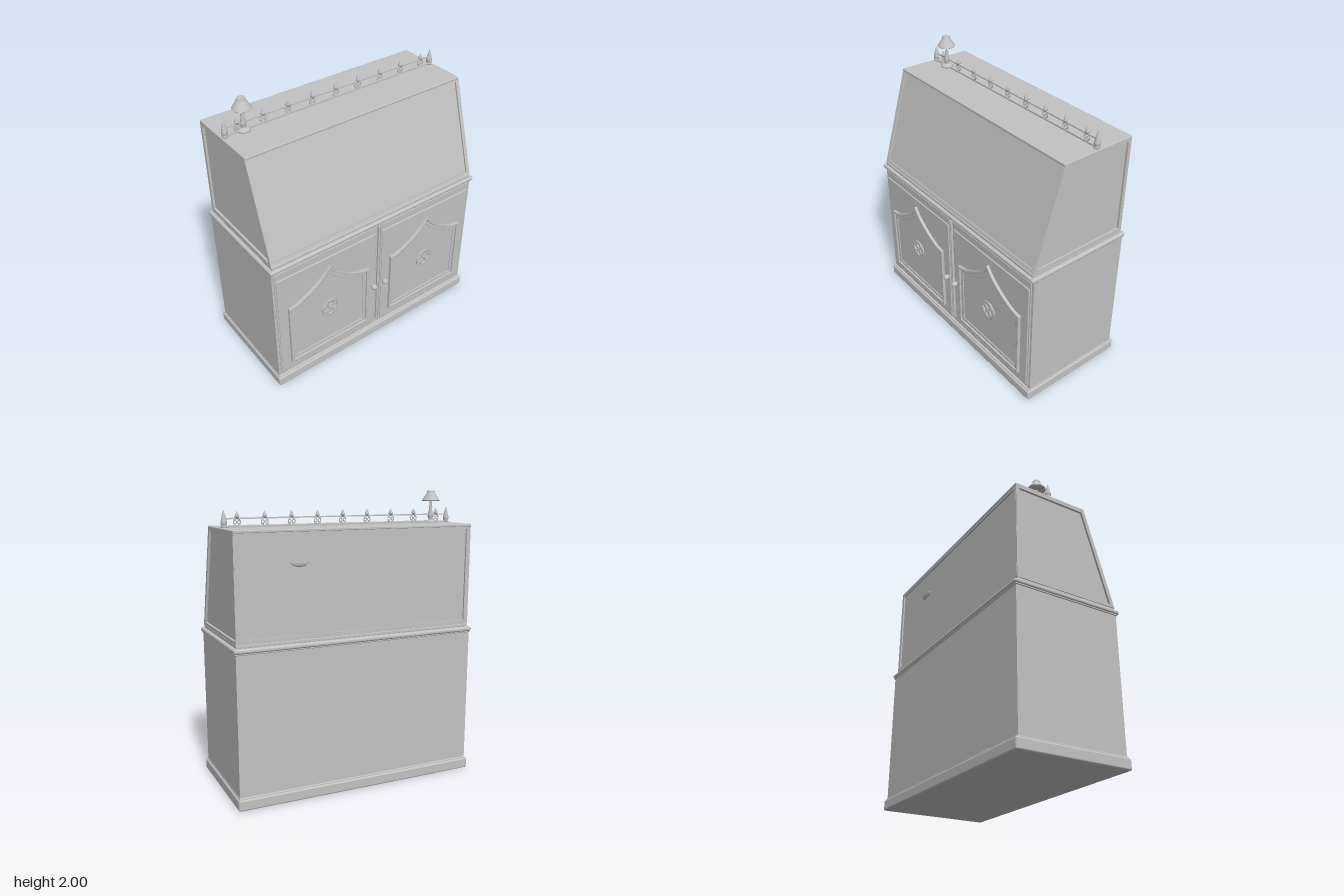
import * as THREE from 'three';
import { RoundedBoxGeometry } from 'three/addons/geometries/RoundedBoxGeometry.js';

const grey = new THREE.MeshStandardMaterial({ color: 0xc2c2c2 });
grey.name = 'grey';

function add(parent, name, geometry, x = 0, y = 0, z = 0) {
  const mesh = new THREE.Mesh(geometry, grey);
  mesh.name = name;
  mesh.position.set(x, y, z);
  parent.add(mesh);
  return mesh;
}

// Box given by its lower and upper limits, optionally with rounded edges
function block(parent, name, [x0, y0, z0], [x1, y1, z1], r = 0) {
  const size = [x1 - x0, y1 - y0, z1 - z0];
  const geo = r ? new RoundedBoxGeometry(...size, 3, r) : new THREE.BoxGeometry(...size);
  return add(parent, name, geo, (x0 + x1) / 2, (y0 + y1) / 2, (z0 + z1) / 2);
}

// Extruded outline, optionally with a hole, plus a small bevel
function plate(points, hole, depth, bevel = 0) {
  const shape = new THREE.Shape(points);
  if (hole) shape.holes.push(new THREE.Path(hole));
  return new THREE.ExtrudeGeometry(shape, {
    depth: depth - bevel, bevelEnabled: bevel > 0, bevelThickness: bevel,
    bevelSize: bevel, bevelOffset: -bevel, bevelSegments: 2,
  });
}

const v = (x, y) => new THREE.Vector2(x, y);
const rect = (w, h, i = 0) => [v(-w / 2 + i, i), v(w / 2 - i, i), v(w / 2 - i, h - i), v(-w / 2 + i, h - i)];
const lathe = (pts, n = 16) => new THREE.LatheGeometry(pts.map(([r, y]) => v(r, y)), n);

// Ogee-topped door outline, shrunk by an inset
function ogee(i) {
  const half = new THREE.SplineCurve([
    v(0.33 - i, 0.69 - i), v(0.26 - i * 0.7, 0.703 - i), v(0.19 - i * 0.5, 0.735 - i),
    v(0.12 - i * 0.4, 0.778 - i * 1.1), v(0.06 - i * 0.3, 0.825 - i * 1.3),
    v(0.028 - i * 0.15, 0.86 - i * 1.5), v(0, 0.9 - i * 1.8),
  ]).getPoints(24);
  const left = half.slice(0, -1).reverse().map((p) => v(-p.x, p.y));
  return [v(-0.33 + i, 0.18 + i), v(0.33 - i, 0.18 + i), ...half, ...left];
}

// Four small rings inside an eight-sided ring
function rosette(parent, name, r, x, y, z) {
  const g = new THREE.Group();
  g.name = name;
  g.position.set(x, y, z);
  const rim = add(g, 'rosetteRim', new THREE.TorusGeometry(r * 0.92, r * 0.11, 6, 8));
  rim.rotation.z = Math.PI / 8;
  for (let k = 0; k < 4; k++) {
    const a = (k * Math.PI) / 2;
    add(g, 'rosetteLobe', new THREE.TorusGeometry(r * 0.37, r * 0.1, 6, 14),
      Math.cos(a) * r * 0.47, Math.sin(a) * r * 0.47, 0);
  }
  add(g, 'rosetteCentre', new THREE.SphereGeometry(r * 0.14, 10, 8));
  parent.add(g);
}

function buildBase(root) {
  const base = new THREE.Group();
  base.name = 'baseCabinet';
  block(base, 'plinth', [-0.87, 0, -0.42], [0.87, 0.075, 0.39], 0.012);
  block(base, 'plinthBead', [-0.86, 0.07, -0.41], [0.86, 0.085, 0.38], 0.006);
  block(base, 'carcass', [-0.857, 0.08, -0.4], [0.857, 1.03, 0.365]);
  block(base, 'corniceLower', [-0.863, 1.018, -0.407], [0.863, 1.03, 0.375], 0.005);
  block(base, 'cornice', [-0.87, 1.026, -0.415], [0.87, 1.058, 0.387], 0.014);
  block(base, 'centreStrip', [-0.007, 0.12, 0.36], [0.007, 1.01, 0.38], 0.005);
  for (const s of [-1, 1]) {
    const door = new THREE.Group();
    door.name = s < 0 ? 'rightDoor' : 'leftDoor';
    door.position.x = s * 0.43;
    // Door slab with a slightly raised face
    block(door, 'doorSlab', [-0.41, 0.1, 0.36], [0.41, 1.012, 0.372], 0.004);
    block(door, 'doorFace', [-0.4, 0.112, 0.365], [0.4, 0.957, 0.379], 0.006);
    // Arched moulding and the field inside it
    add(door, 'outerMoulding', plate(ogee(0), ogee(0.018), 0.02, 0.004), 0, 0, 0.379);
    add(door, 'innerMoulding', plate(ogee(0.018), ogee(0.044), 0.01, 0.003), 0, 0, 0.379);
    add(door, 'doorField', plate(ogee(0.042), null, 0.006), 0, 0, 0.377);
    rosette(door, 'doorRosette', 0.072, 0, 0.51, 0.385);
    // Knob on the edge next to the other door
    add(door, 'knob', new THREE.SphereGeometry(0.021, 18, 14), -s * 0.38, 0.49, 0.4);
    const neck = add(door, 'knobNeck', new THREE.CylinderGeometry(0.01, 0.015, 0.024, 12), -s * 0.38, 0.49, 0.384);
    neck.rotation.x = Math.PI / 2;
    base.add(door);
  }
  root.add(base);
}

function buildUpper(root) {
  const upper = new THREE.Group();
  upper.name = 'upperCase';
  block(upper, 'footMoulding', [-0.848, 1.055, -0.385], [0.848, 1.078, 0.368], 0.006);
  // Slant-fronted body
  const body = plate([v(-0.375, 1.07), v(0.357, 1.07), v(0.147, 1.765), v(-0.375, 1.765)], null, 1.67);
  body.translate(0, 0, -0.835);
  body.rotateY(-Math.PI / 2);
  add(upper, 'slantBody', body);
  // Raised borders on both sides
  const outer = [v(-0.385, 1.078), v(0.366, 1.078), v(0.157, 1.77), v(-0.385, 1.77)];
  const inner = [v(-0.36, 1.1), v(0.331, 1.1), v(0.138, 1.742), v(-0.36, 1.742)];
  for (const s of [-1, 1]) {
    const side = plate(outer, inner, 0.02);
    side.rotateY(-Math.PI / 2);
    add(upper, 'sideBorder', side, s > 0 ? 0.85 : -0.83);
  }
  // Borders on the slanted front and on the back
  const slope = Math.atan2(0.209, 0.692);
  const front = add(upper, 'frontBorder', plate(rect(1.69, 0.72), rect(1.69, 0.72, 0.024), 0.011), 0, 1.078, 0.355);
  front.rotation.x = -slope;
  add(upper, 'backBorder', plate(rect(1.69, 0.69), rect(1.69, 0.69, 0.028), 0.012), 0, 1.078, -0.386);
  // Top board
  block(upper, 'topBoard', [-0.85, 1.758, -0.388], [0.85, 1.776, 0.162], 0.005);
  // Shallow pull on the back
  const pull = add(upper, 'backPull', new THREE.SphereGeometry(1, 20, 12, 0, Math.PI * 2, Math.PI / 2, Math.PI / 2), 0.42, 1.57, -0.375);
  pull.scale.set(0.06, 0.03, 0.012);
  const lid = add(upper, 'backPullLid', new THREE.CylinderGeometry(1, 1, 1, 20), 0.42, 1.571, -0.375);
  lid.scale.set(0.063, 0.006, 0.014);
  root.add(upper);
}

function buildGallery(root) {
  const gallery = new THREE.Group();
  gallery.name = 'gallery';
  gallery.position.z = -0.115;
  block(gallery, 'lowerRail', [-0.82, 1.774, -0.007], [0.82, 1.787, 0.007]);
  block(gallery, 'upperRail', [-0.82, 1.829, -0.004], [0.82, 1.838, 0.004]);
  // Small spear finials over pierced rosettes
  const spear = lathe([[0, 0], [0.008, 0], [0.008, 0.006], [0.015, 0.01], [0.014, 0.018], [0.007, 0.036], [0, 0.05]], 12);
  for (let k = -4; k <= 4; k++) {
    const x = k * 0.184;
    rosette(gallery, 'galleryRosette', 0.027, x, 1.81, 0);
    add(gallery, 'finial', spear, x, 1.831, 0);
  }
  // Tall end finials
  const tall = lathe([[0, 0], [0.02, 0], [0.02, 0.01], [0.014, 0.016], [0.021, 0.026], [0.02, 0.04], [0.011, 0.08], [0, 0.115]]);
  for (const s of [-1, 1]) add(gallery, 'endFinial', tall, s * 0.822, 1.774, 0);
  root.add(gallery);
}

function buildLamp(root) {
  const lamp = new THREE.Group();
  lamp.name = 'lamp';
  lamp.position.set(-0.692, 1.774, -0.115);
  add(lamp, 'lampStand', lathe([[0, 0], [0.044, 0], [0.044, 0.01], [0.036, 0.016], [0.016, 0.02], [0.013, 0.03],
    [0.02, 0.045], [0.019, 0.06], [0.01, 0.095], [0.013, 0.11], [0.008, 0.118], [0.008, 0.165]], 20));
  add(lamp, 'lampShade', new THREE.CylinderGeometry(0.028, 0.063, 0.056, 24), 0, 0.184, 0);
  add(lamp, 'shadeRim', new THREE.CylinderGeometry(0.063, 0.06, 0.006, 24), 0, 0.156, 0);
  add(lamp, 'shadeCap', new THREE.CylinderGeometry(0.026, 0.03, 0.014, 24), 0, 0.219, 0);
  root.add(lamp);
}

export function createModel() {
  const root = new THREE.Group();
  root.name = 'writingCabinet';
  buildBase(root);
  buildUpper(root);
  buildGallery(root);
  buildLamp(root);
  return root;
}
